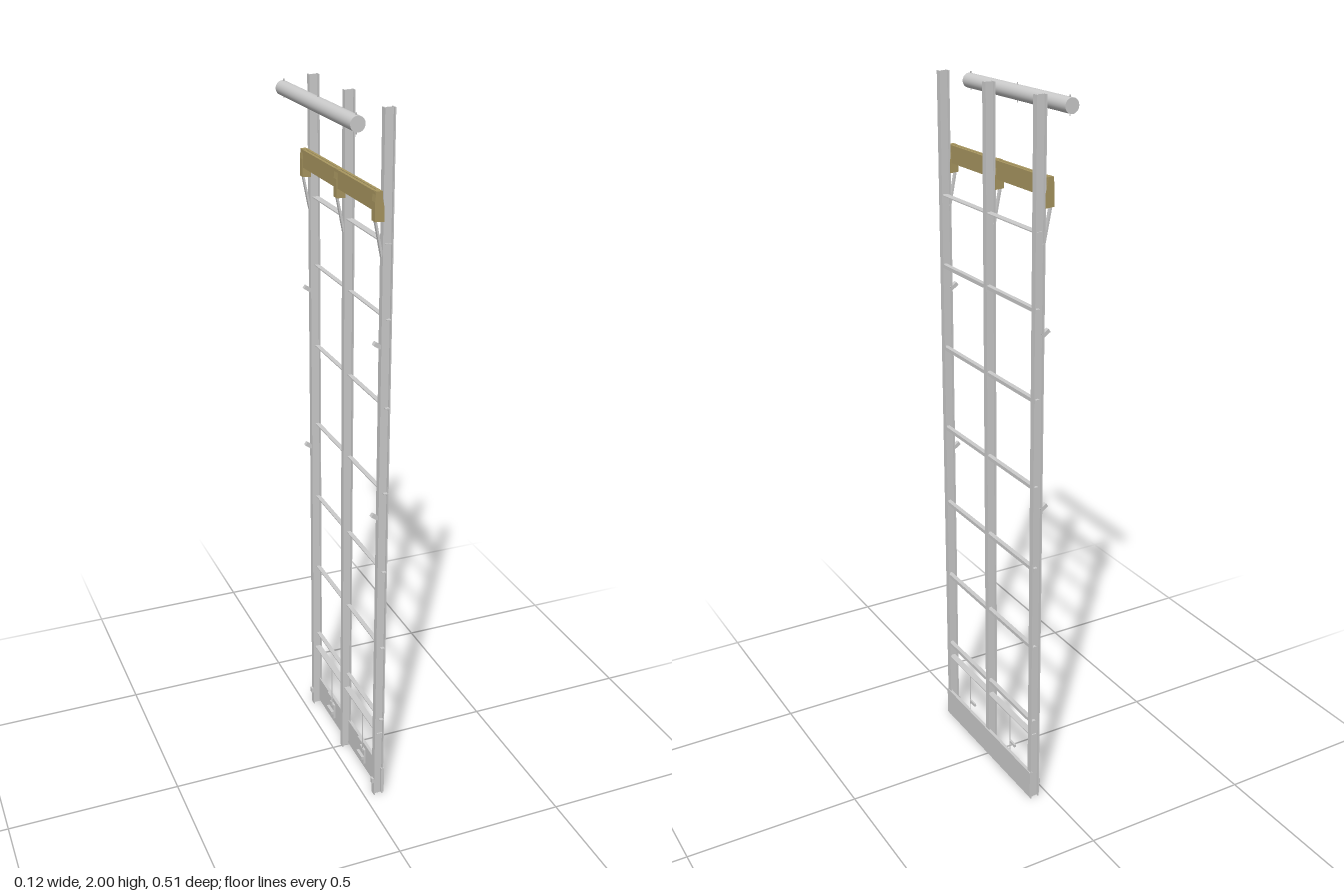
import * as THREE from 'three';

const grey = new THREE.MeshStandardMaterial({ color: 0xcccccc });
const yellow = new THREE.MeshStandardMaterial({ color: 0xa89660 });
const postZ = [-0.245, 0, 0.245];

export function createModel() {
  const root = new THREE.Group();

  const add = (name, geo, mat, x, y, z, parent = root) => {
    const m = new THREE.Mesh(geo, mat);
    m.name = name;
    m.position.set(x, y, z);
    parent.add(m);
    return m;
  };
  // Box given by its limits on each axis
  const box = (name, [x0, x1], [y0, y1], [z0, z1], mat = grey, parent = root) =>
    add(name, new THREE.BoxGeometry(x1 - x0, y1 - y0, z1 - z0), mat,
      (x0 + x1) / 2, (y0 + y1) / 2, (z0 + z1) / 2, parent);
  // Side profile in x and y, extruded along z and centred on z
  const plate = (name, pts, width, z, mat) => {
    const shape = new THREE.Shape(pts.map(p => new THREE.Vector2(...p)));
    const geo = new THREE.ExtrudeGeometry(shape, { depth: width, bevelEnabled: false });
    return add(name, geo, mat, 0, 0, z - width / 2);
  };

  // Upright I-section posts
  postZ.forEach(z => {
    const post = new THREE.Group();
    post.name = 'post';
    root.add(post);
    box('innerFlange', [0.028, 0.031], [0, 2], [z - 0.009, z + 0.009], grey, post);
    box('outerFlange', [0.053, 0.056], [0, 2], [z - 0.009, z + 0.009], grey, post);
    box('web', [0.031, 0.053], [0, 2], [z - 0.0015, z + 0.0015], grey, post);
  });

  // Angle-section rungs, just proud of the outer posts
  [0.262, 0.505, 0.75, 0.99, 1.235, 1.475].forEach(y => {
    plate('rung', [[0.042, y + 0.002], [0.052, y + 0.002], [0.052, y - 0.005],
      [0.055, y - 0.005], [0.055, y + 0.005], [0.042, y + 0.005]], 0.511, 0, grey);
  });

  // Thin flat cross ties near the top and bottom
  [0.215, 1.672].forEach(y =>
    box('flatTie', [0.036, 0.055], [y - 0.0015, y + 0.0015], [-0.25, 0.25]));

  // Toe board along the foot
  box('toeBoard', [0.05, 0.059], [0.005, 0.09], [-0.254, 0.254]);

  // Latches behind the toe board, each with a handle and pull wire
  [0.122, -0.122].forEach(z => {
    const latch = new THREE.Group();
    latch.name = 'latch';
    root.add(latch);
    box('latchPlate', [0.044, 0.05], [0.025, 0.075], [z - 0.016, z + 0.016], grey, latch);
    box('latchTongue', [0.035, 0.044], [0.045, 0.055], [z - 0.02, z + 0.02], grey, latch);
    box('handle', [0.036, 0.042], [0.101, 0.109], [z - 0.015, z + 0.015], grey, latch);
    add('pullWire', new THREE.CylinderGeometry(0.0015, 0.0015, 0.14, 8), grey, 0.039, 0.145, z + 0.0155, latch);
  });

  // Small tilted clips on the outer posts
  [0.928, 1.413].forEach(y => [-0.245, 0.245].forEach(z => {
    const clip = add('clip', new THREE.BoxGeometry(0.022, 0.011, 0.012), grey, 0.02, y, z);
    clip.rotation.z = -0.6;
  }));
  [-0.245, 0.245].forEach(z => box('footClip', [0.022, 0.028], [0.042, 0.058], [z - 0.006, z + 0.006]));

  // Cross beam made of two solid planks with a narrow gap
  [[0.007, 0.0155], [0.018, 0.026]].forEach(x =>
    box('beamPlank', x, [1.757, 1.805], [-0.252, 0.252], yellow));

  // Brackets and diagonal struts carrying the beam
  postZ.forEach(z => {
    plate('bracket', [[0.005, 1.732], [0.03, 1.73], [0.03, 1.765], [0.022, 1.806],
      [0.008, 1.806], [0.005, 1.78]], 0.02, z, yellow);
    plate('strut', [[0.005, 1.745], [0.01, 1.745], [0.032, 1.64], [0.026, 1.64]], 0.01, z, grey);
  });

  // Loose top roller
  const roller = add('roller', new THREE.CylinderGeometry(0.0195, 0.0195, 0.51, 32), grey, -0.041, 1.968, 0);
  roller.rotation.x = Math.PI / 2;
  // Thin pins through the roller
  postZ.forEach(z => add('rollerPin', new THREE.CylinderGeometry(0.0015, 0.0015, 0.05, 8), grey, -0.041, 1.968, z));

  return root;
}
